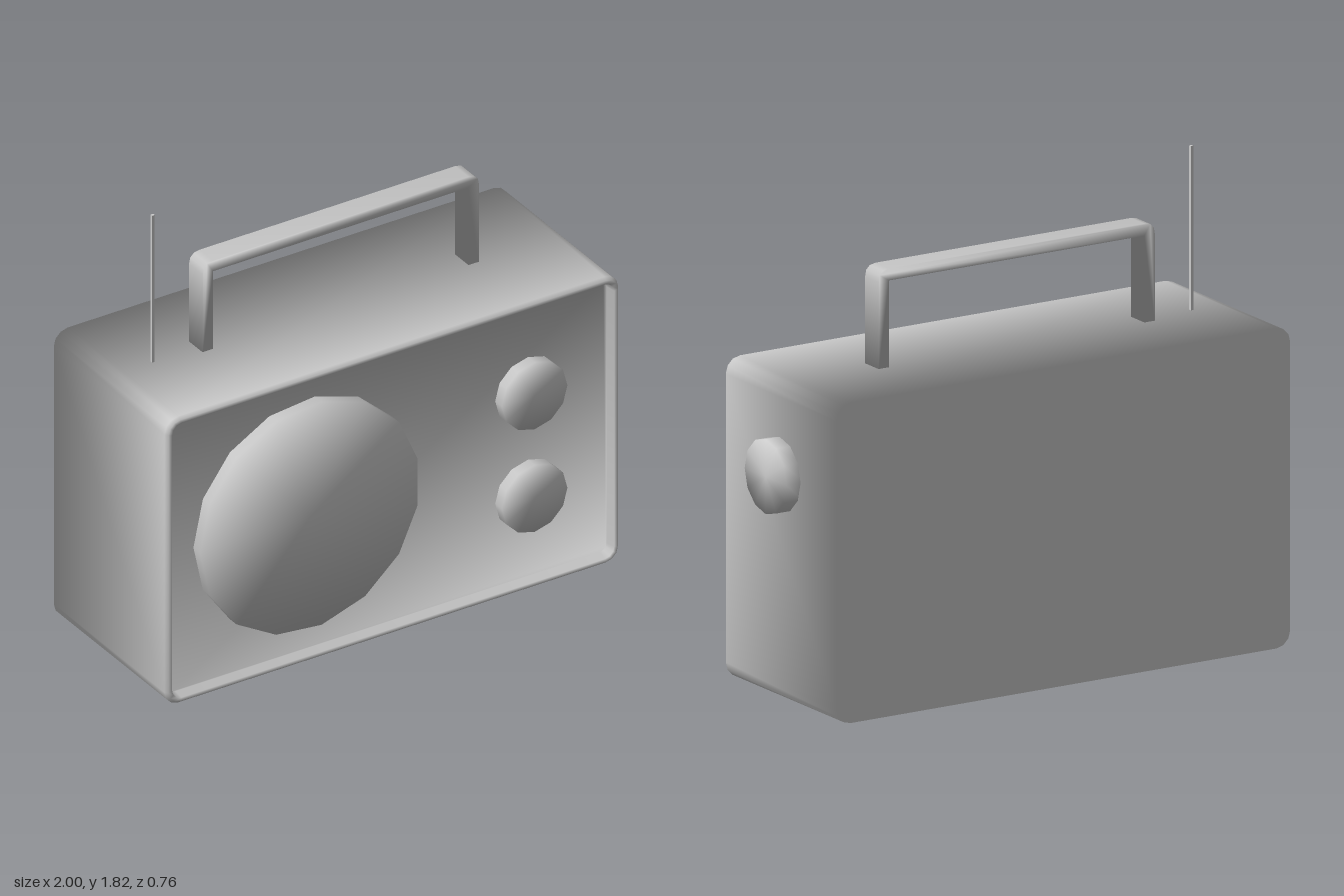
import * as THREE from 'three';
import { mergeVertices } from 'three/addons/utils/BufferGeometryUtils.js';

const material = new THREE.MeshStandardMaterial({ color: 0xcccccc });

// Welds the corners and averages the neighbouring face directions equally.
function soften(source) {
  let geo = source.clone();
  geo.deleteAttribute('normal');
  geo.deleteAttribute('uv');
  geo = mergeVertices(geo, 1e-4);
  const pos = geo.attributes.position;
  const faces = Array.from({ length: pos.count }, () => []);
  const tri = new THREE.Triangle();
  for (let i = 0; i < geo.index.count; i += 3) {
    const ids = [0, 1, 2].map((k) => geo.index.getX(i + k));
    tri.setFromAttributeAndIndices(pos, ...ids);
    const n = tri.getNormal(new THREE.Vector3());
    for (const id of ids) {
      if (!faces[id].some((m) => m.dot(n) > 0.999)) faces[id].push(n);
    }
  }
  const normals = faces.flatMap((list) =>
    list.reduce((s, n) => s.add(n), new THREE.Vector3()).normalize().toArray());
  geo.setAttribute('normal', new THREE.Float32BufferAttribute(normals, 3));
  return geo;
}

function part(name, geo) {
  const mesh = new THREE.Mesh(geo, material);
  mesh.name = name;
  return mesh;
}

// Rounded rectangle, counter-clockwise from the front, pulled in by inset.
function roundedLoop(inset, r) {
  const [x0, x1, y0, y1] = [-1 + inset, 0.94 - inset, inset, 1.2 - inset];
  const centres = [[x1 - r, y0 + r], [x1 - r, y1 - r], [x0 + r, y1 - r], [x0 + r, y0 + r]];
  return centres.flatMap(([cx, cy], c) => [0, 1, 2, 3].map((k) => {
    const a = (c - 1 + k / 3) * Math.PI / 2;
    return new THREE.Vector2(cx + r * Math.cos(a), cy + r * Math.sin(a));
  }));
}

// Case: straight sides, a narrow rim and a recessed front panel.
function caseGeometry() {
  const back = -0.38;
  const rings = [
    [0, 0.06, back], [0, 0.06, 0.36], [0.01, 0.05, 0.373],
    [0.025, 0.04, 0.373], [0.033, 0.03, 0.335],
  ].map(([inset, r, z]) => ({ loop: roundedLoop(inset, r), z }));
  const n = rings[0].loop.length;
  const points = rings.flatMap(({ loop, z }) => loop.flatMap((p) => [p.x, p.y, z]));
  const index = [];
  for (let s = 0; s < rings.length - 1; s++) {
    for (let i = 0; i < n; i++) {
      const a = s * n + i, b = s * n + (i + 1) % n;
      index.push(a, b, b + n, a, b + n, a + n);
    }
  }
  const last = (rings.length - 1) * n;
  for (const [a, b, c] of THREE.ShapeUtils.triangulateShape(rings[0].loop, [])) {
    index.push(a, c, b);
  }
  for (const [a, b, c] of THREE.ShapeUtils.triangulateShape(rings[4].loop, [])) {
    index.push(last + a, last + b, last + c);
  }
  const geo = new THREE.BufferGeometry();
  geo.setAttribute('position', new THREE.Float32BufferAttribute(points, 3));
  geo.setIndex(index);
  const soft = soften(geo);
  // The back stays flat.
  for (let i = 0; i < soft.attributes.position.count; i++) {
    if (soft.attributes.position.getZ(i) < back + 0.001) soft.attributes.normal.setXYZ(i, 0, 0, -1);
  }
  return soft;
}

// Disc facing +z from z0 to z1.
function disc(name, x, y, r, sides, z0, z1) {
  const geo = new THREE.CylinderGeometry(r, r, z1 - z0, sides);
  geo.rotateY(-Math.PI / 2).rotateX(Math.PI / 2);
  const mesh = part(name, soften(geo));
  mesh.position.set(x, y, (z0 + z1) / 2);
  return mesh;
}

// Carrying handle: a flat band bent into an arch.
function handleGeometry() {
  const [x0, x1, top, t, c] = [-0.625, 0.557, 1.57, 0.045, 0.045];
  const s = new THREE.Shape();
  s.moveTo(x0, 1.19);
  s.lineTo(x0 + t, 1.19);
  s.lineTo(x0 + t, top - t);
  s.lineTo(x1 - t, top - t);
  s.lineTo(x1 - t, 1.19);
  s.lineTo(x1, 1.19);
  s.lineTo(x1, top - c);
  s.quadraticCurveTo(x1, top, x1 - c, top);
  s.lineTo(x0 + c, top);
  s.quadraticCurveTo(x0, top, x0, top - c);
  s.closePath();
  const geo = new THREE.ExtrudeGeometry(s, { depth: 0.09, bevelEnabled: false, curveSegments: 3 });
  return soften(geo.translate(0, 0, -0.062));
}

export function createModel() {
  const group = new THREE.Group();
  group.name = 'portableRadio';
  group.add(part('case', caseGeometry()));
  group.add(part('handle', handleGeometry()));

  // Speaker and the two front dials
  group.add(disc('speaker', -0.39, 0.61, 0.47, 15, 0.325, 0.38));
  for (const [name, y] of [['upperDial', 0.81], ['lowerDial', 0.38]]) {
    group.add(disc(name, 0.57, y, 0.14, 12, 0.325, 0.38));
  }

  // Tuning knob on the left side
  const knob = disc('sideKnob', 0, 0, 0.14, 12, 0, 0.08);
  knob.rotation.y = Math.PI / 2;
  knob.position.set(0.96, 0.85, 0);
  group.add(knob);

  // Antenna
  const antenna = part('antenna', new THREE.BoxGeometry(0.011, 0.625, 0.011));
  antenna.position.set(-0.812, 1.503, -0.013);
  group.add(antenna);
  return group;
}
